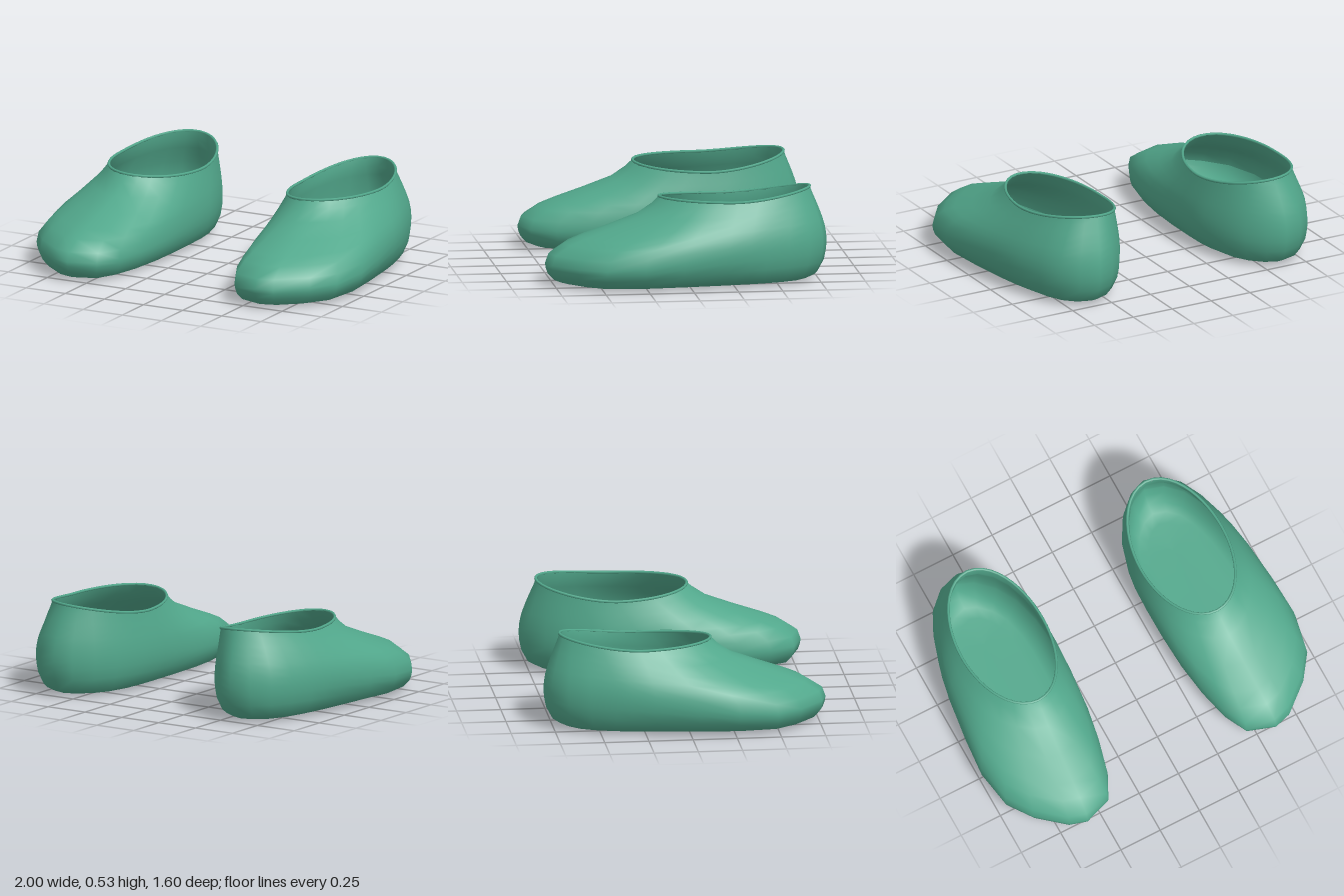
import * as THREE from 'three';

const N = 24; // points per ring: toe, outer side, heel, inner side

// Widest outline of one shoe as (x, z)
const OUTLINE = [
  [0.60, 0.795], [0.70, 0.765], [0.86, 0.63], [0.96, 0.49], [1.0, 0.27], [0.985, 0.05],
  [0.955, -0.2], [0.93, -0.33], [0.905, -0.42], [0.86, -0.56], [0.80, -0.68], [0.71, -0.765],
  [0.60, -0.80], [0.50, -0.76], [0.405, -0.67], [0.335, -0.55], [0.29, -0.39], [0.277, -0.29],
  [0.275, -0.15], [0.28, 0.03], [0.295, 0.23], [0.325, 0.42], [0.37, 0.6], [0.44, 0.74],
];

// Upper profiles: travel from the outline to the opening, and rise
const TOE = [[0, 0], [0.03, 0.15], [0.16, 0.30], [0.30, 0.40], [0.54, 0.55], [0.80, 0.725], [0.93, 0.88], [1, 1]];
const WALL = [[0, 0], [0.03, 0.15], [0.12, 0.30], [0.25, 0.43], [0.42, 0.57], [0.62, 0.72], [0.85, 0.88], [1, 1]];

// Sole profile: distance from the spine, and height
const SOLE = [[0, 0], [0.5, 0.02], [0.70, 0.06], [0.85, 0.18], [0.955, 0.5], [0.99, 0.78]];

const { lerp, clamp, smoothstep } = THREE.MathUtils;
const outlineHeight = (z) => 0.21 - 0.09 * smoothstep(z, -0.5, 0.6);

// Tilted oval opening, higher at the heel
function openingPoint(i) {
  const a = (i / N) * Math.PI * 2;
  const u = Math.sin(a), v = Math.cos(a);
  const y = 0.463 + 0.015 * u + 0.06 * Math.max(0, -v) ** 1.5 + 0.018 * Math.max(0, v) ** 2;
  return new THREE.Vector3(0.57 + 0.258 * u, y, -0.28 + 0.427 * v);
}

const makeRing = (rule) => Array.from({ length: N }, (_, i) => rule(i));

const soleRings = SOLE.map(([k, h]) => makeRing((i) => {
  const [x, z] = OUTLINE[i];
  const spineZ = clamp(z, -0.45, 0.45);
  return new THREE.Vector3(lerp(0.6, x, k), outlineHeight(z) * h, lerp(spineZ, z, k));
}));

const upperRings = TOE.map((toe, r) => makeRing((i) => {
  const [x, z] = OUTLINE[i];
  const top = openingPoint(i);
  const w = clamp((Math.hypot(x - top.x, z - top.z) - 0.15) / 0.4, 0, 1);
  const t = lerp(WALL[r][0], toe[0], w);
  const h = lerp(WALL[r][1], toe[1], w);
  return new THREE.Vector3(lerp(x, top.x, t), lerp(outlineHeight(z), top.y, h), lerp(z, top.z, t));
}));

// Skin a stack of closed rings; side = -1 mirrors it
function loft(rings, side) {
  const positions = rings.flat().flatMap((p) => [p.x * side, p.y, p.z]);
  const index = [];
  for (let r = 0; r < rings.length - 1; r++) {
    for (let i = 0; i < N; i++) {
      const j = (i + 1) % N;
      const a = r * N + i, b = r * N + j, c = b + N, d = a + N;
      if (side > 0) index.push(a, b, c, a, c, d);
      else index.push(a, c, b, a, d, c);
    }
  }
  const geometry = new THREE.BufferGeometry();
  geometry.setAttribute('position', new THREE.Float32BufferAttribute(positions, 3));
  geometry.setIndex(index);
  geometry.computeVertexNormals();
  return geometry;
}

// Inner skin, slightly smaller, running from the opening down to the insole
const shrink = (ring, dy) => ring.map((p) =>
  new THREE.Vector3(lerp(0.6, p.x, 0.965), p.y + dy, p.z * 0.975));
const liningRings = [
  upperRings[upperRings.length - 1].map((p) => new THREE.Vector3(lerp(0.57, p.x, 0.985), p.y, lerp(-0.28, p.z, 0.985))),
  ...upperRings.slice(0, -1).reverse().map((ring) => shrink(ring, -0.015)),
  ...soleRings.slice().reverse().map((ring) => shrink(ring, 0.015)),
];

function createShoe(side, material) {
  const shoe = new THREE.Group();
  const add = (geometry, name) => {
    const mesh = new THREE.Mesh(geometry, material);
    mesh.name = name;
    shoe.add(mesh);
  };
  add(loft([...soleRings, ...upperRings], side), 'shoeBody');
  add(loft(liningRings, side), 'lining');

  // Thin rolled edge round the opening
  const path = makeRing((i) => openingPoint(i)).map((p) => new THREE.Vector3(p.x * side, p.y, p.z));
  add(new THREE.TubeGeometry(new THREE.CatmullRomCurve3(path, true), 48, 0.008, 6, true), 'openingRim');
  return shoe;
}

export function createModel() {
  const green = new THREE.MeshStandardMaterial({ color: 0x52a88c });
  green.name = 'seaGreen';

  const model = new THREE.Group();
  model.name = 'pairOfShoes';
  const left = createShoe(1, green);
  left.name = 'leftShoe';
  const right = createShoe(-1, green);
  right.name = 'rightShoe';
  model.add(left, right);
  return model;
}
